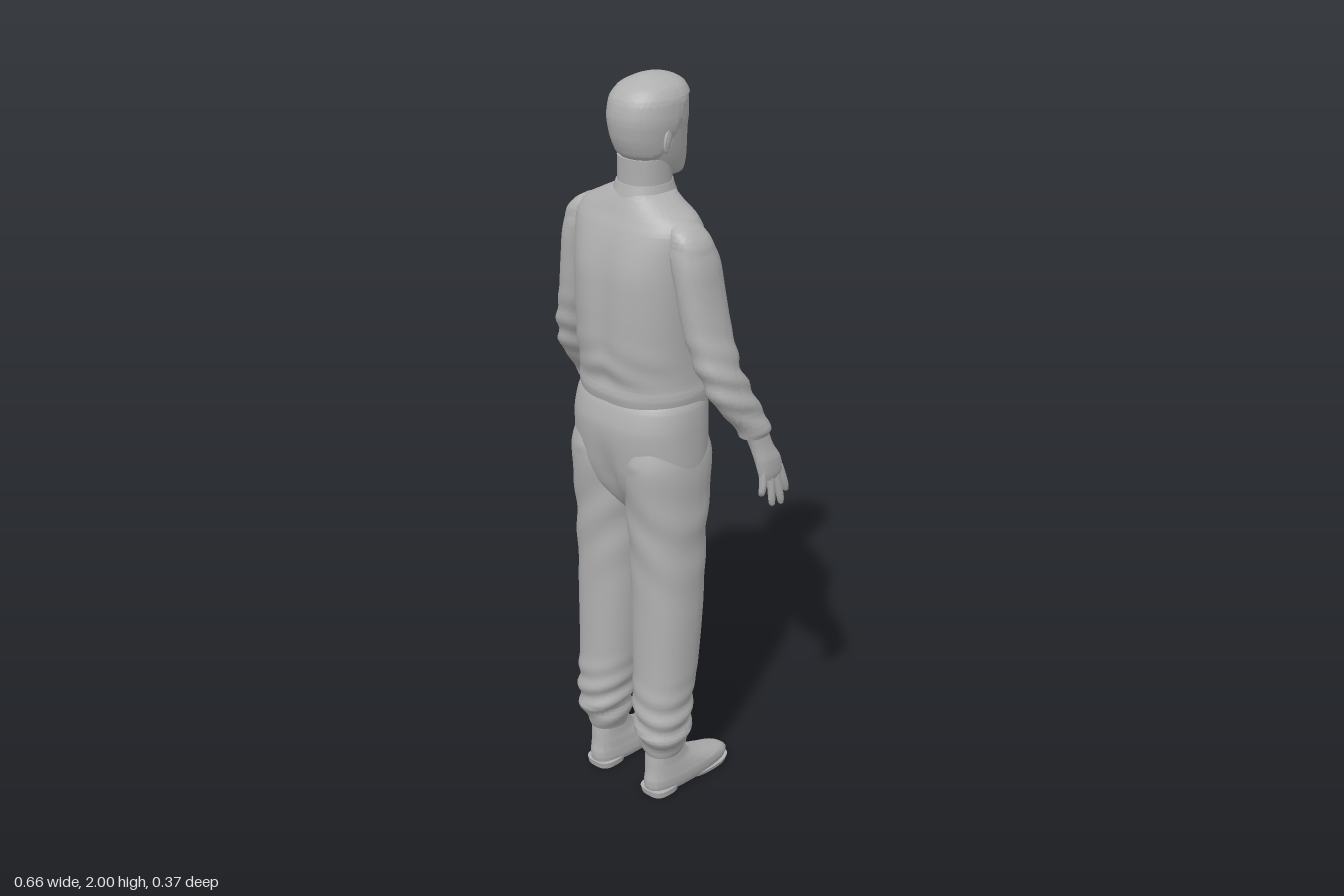
import * as THREE from 'three';
import { toCreasedNormals } from 'three/addons/utils/BufferGeometryUtils.js';

const clay = new THREE.MeshStandardMaterial({ color: 0xb0b0b0 });
clay.name = 'plain grey';

const bell = (x, y, sx, sy) => Math.exp(-((x / sx) ** 2) - (y / sy) ** 2);
const step = (a, b, v) => THREE.MathUtils.smoothstep(v, a, b);

// Monotone cubic through the rows, read at height y inside span i
function sampleRow(rows, i, y) {
  const slope = (k, c) => (rows[k + 1][c] - rows[k][c]) / (rows[k + 1][0] - rows[k][0]);
  const tangent = (k, c) => {
    if (k === 0) return slope(0, c);
    if (k === rows.length - 1) return slope(k - 1, c);
    const a = slope(k - 1, c), b = slope(k, c);
    return a * b <= 0 ? 0 : (2 * a * b) / (a + b);
  };
  const h = rows[i + 1][0] - rows[i][0], s = (y - rows[i][0]) / h;
  return [1, 2, 3, 4].map(c =>
    (1 + 2 * s) * (1 - s) ** 2 * rows[i][c] + s * (1 - s) ** 2 * h * tangent(i, c) +
    s * s * (3 - 2 * s) * rows[i + 1][c] + s * s * (s - 1) * h * tangent(i + 1, c));
}

// Skin over level sections [y, xMin, xMax, zMin, zMax], listed from bottom to top
function loft(rows, { segs = 40, sub = 6, power = 2.2, rule } = {}) {
  const pos = [], index = [];
  let rings = 0;
  const ring = (i, y) => {
    const [x0, x1, z0, z1] = sampleRow(rows, i, y);
    for (let j = 0; j < segs; j++) {
      const t = (j / segs) * Math.PI * 2, c = Math.cos(t), s = Math.sin(t);
      const p = new THREE.Vector3(
        (x0 + x1) / 2 + (x1 - x0) / 2 * Math.sign(c) * Math.abs(c) ** (2 / power), y,
        (z0 + z1) / 2 + (z1 - z0) / 2 * Math.sign(s) * Math.abs(s) ** (2 / power));
      if (rule) rule(p, c, s, t);
      pos.push(p.x, p.y, p.z);
    }
    rings++;
  };
  for (let i = 0; i < rows.length - 1; i++)
    for (let k = 0; k < sub; k++) ring(i, rows[i][0] + (rows[i + 1][0] - rows[i][0]) * k / sub);
  ring(rows.length - 2, rows[rows.length - 1][0]);
  for (const r of [rows[0], rows[rows.length - 1]]) pos.push((r[1] + r[2]) / 2, r[0], (r[3] + r[4]) / 2);
  const low = rings * segs, high = low + 1, last = (rings - 1) * segs;
  for (let j = 0; j < segs; j++) {
    const n = (j + 1) % segs;
    for (let i = 0; i < rings - 1; i++) {
      const a = i * segs + j, b = i * segs + n;
      index.push(a, a + segs, b, b, a + segs, b + segs);
    }
    index.push(low, j, n, high, last + n, last + j);
  }
  const g = new THREE.BufferGeometry();
  g.setAttribute('position', new THREE.Float32BufferAttribute(pos, 3));
  g.setIndex(index);
  return toCreasedNormals(g, 0.9);
}

const mirror = (rows, side) => side > 0 ? rows : rows.map(([y, a, b, c, d]) => [y, -b, -a, c, d]);

export function createModel() {
  const model = new THREE.Group();
  const add = (name, geometry, parent = model) => {
    const m = new THREE.Mesh(geometry, clay);
    m.name = name;
    parent.add(m);
    return m;
  };

  // Head: smooth skull with brow, eyes, nose, mouth and a raised hair edge
  const X = 0.012;
  add('head', loft([
    [1.737, X - .025, X + .025, -.07, 0], [1.745, X - .045, X + .045, -.08, .03],
    [1.78, X - .063, X + .063, -.084, .08], [1.82, X - .074, X + .074, -.082, .108],
    [1.86, X - .081, X + .081, -.08, .122], [1.9, X - .086, X + .086, -.082, .127],
    [1.94, X - .084, X + .084, -.081, .12], [1.97, X - .069, X + .069, -.07, .098],
    [1.987, X - .047, X + .047, -.05, .07], [1.996, X - .024, X + .024, -.02, .045],
    [2, X - .004, X + .004, .008, .018],
  ], { segs: 112, sub: 10, rule: (p, c, s) => {
    const x = p.x - X, e = Math.abs(x), y = p.y;
    const hairline = 1.945 - .14 * step(-.045, .07, p.z);
    const hair = .005 * step(hairline - .004, hairline + .006, y) * (1 - step(1.97, 1.995, y));
    p.x += c * hair;
    p.z += s * hair;
    if (s >= 0) return;
    const k = THREE.MathUtils.clamp((1.893 - y) / .07, 0, 1);
    p.z -= .031 * k * step(1.805, 1.82, y) * bell(x, 0, .007 + .006 * k, 1)
      + .006 * bell(e - .028, y - 1.892, .018, .006)
      - .01 * bell(e - .031, y - 1.871, .015, .01) + .005 * bell(e - .031, y - 1.87, .009, .006)
      + .006 * bell(x, y - 1.793, .018, .005) + .006 * bell(x, y - 1.779, .016, .005)
      - .005 * bell(x, y - 1.786, .02, .003) + .006 * bell(x, y - 1.755, .02, .012);
  } }));
  add('neck', loft([[1.64, -.075, .085, -.03, .11], [1.72, -.058, .074, -.035, .1], [1.8, -.055, .076, -.03, .102]]));

  // Ears: flat oval with a rim
  for (const side of [-1, 1]) {
    const ear = new THREE.Group();
    ear.name = side > 0 ? 'leftEar' : 'rightEar';
    ear.position.set(X + side * .083, 1.85, .04);
    ear.rotation.set(-.2, side * .25, 0);
    add('earBody', new THREE.SphereGeometry(1, 16, 12), ear).scale.set(.006, .028, .015);
    const rim = add('earRim', new THREE.TorusGeometry(.015, .004, 8, 20), ear);
    rim.scale.set(1, 1.7, 1);
    rim.rotation.y = Math.PI / 2;
    model.add(ear);
  }

  // Waistcoat: hollow spine, shoulder blades, folds above the hem and a front overlap
  add('waistcoat', loft([
    [1.165, -.172, .172, -.13, .166], [1.2, -.176, .176, -.132, .172], [1.225, -.172, .172, -.13, .17],
    [1.3, -.17, .17, -.125, .183], [1.4, -.173, .173, -.116, .185], [1.5, -.178, .178, -.096, .178],
    [1.58, -.184, .184, -.078, .163], [1.63, -.188, .188, -.062, .147], [1.66, -.172, .172, -.05, .133],
    [1.69, -.122, .122, -.04, .12], [1.715, -.074, .08, -.035, .108],
  ], { segs: 80, power: 2.3, rule: (p, c, s) => {
    if (s > 0) {
      p.z += s * (.007 * bell(Math.abs(p.x) - .09, p.y - 1.53, .06, .08) - .008 * bell(p.x, p.y - 1.4, .035, .16));
      p.z += s * .004 * Math.sin(p.y * 75 + Math.abs(p.x) * 26) * bell(0, p.y - 1.27, 1, .06);
    } else {
      p.z -= .004 * step(-.004, .004, p.x + .008) * step(.12, 0, Math.abs(p.x)) * (p.y < 1.62 ? 1 : 0);
      p.y -= .025 * bell(p.x, p.y - 1.165, .05, .03);
    }
  } }));

  // Collar, tie and collar points
  add('collar', loft([[1.675, -.08, .09, -.055, .12], [1.7, -.072, .084, -.048, .114], [1.735, -.06, .075, -.038, .104]]));
  add('tie', loft([[1.56, -.012, .03, -.092, -.06], [1.64, -.006, .024, -.073, -.04],
    [1.672, -.003, .021, -.065, -.03], [1.69, -.008, .026, -.066, -.03], [1.71, -.008, .026, -.05, -.02]], { segs: 20 }));
  for (const side of [-1, 1]) {
    const flap = new THREE.Shape([[0, 0], [side * .045, .004], [side * .036, -.045]].map(a => new THREE.Vector2(...a)));
    const m = add(side > 0 ? 'leftCollarPoint' : 'rightCollarPoint',
      new THREE.ExtrudeGeometry(flap, { depth: .006, bevelEnabled: false }));
    m.position.set(X, 1.714, -.053);
    m.rotation.set(.4, -side * .45, 0);
  }

  // Seat of the trousers
  add('trouserSeat', loft([
    [.84, -.04, .04, 0, .09], [.88, -.09, .09, -.045, .125], [.94, -.165, .165, -.085, .158],
    [1, -.186, .186, -.1, .174], [1.1, -.184, .184, -.106, .184], [1.16, -.179, .179, -.106, .172],
    [1.19, -.168, .168, -.11, .158],
  ], { segs: 64, power: 2.3, rule: (p, c, s) => {
    if (s > 0) p.z -= .018 * bell(p.x, p.y - .96, .025, .08);
  } }));

  for (const side of [-1, 1]) {
    const word = side > 0 ? 'left' : 'right';

    // Trouser leg with pressed crease, and cloth gathered above the ankle
    add(word + 'TrouserLeg', loft(mirror([
      [.125, .06, .15, .012, .115], [.15, .05, .162, .004, .125], [.175, .046, .172, -.004, .138],
      [.21, .04, .179, -.006, .145], [.3, .028, .181, -.016, .145], [.4, .019, .185, -.036, .14],
      [.6, .01, .19, -.054, .14], [.8, .004, .19, -.066, .148], [.9, 0, .19, -.08, .158],
      [1, 0, .186, -.094, .17], [1.09, .02, .165, -.07, .15],
    ], side), { segs: 56, sub: 8, rule: (p, c, s) => {
      const gather = bell(0, p.y - .23, 1, .09), thigh = bell(0, p.y - .8, 1, .14);
      const d = .006 * gather * Math.sin(p.y * 95 + side * c * 2.2 + s * 1.5)
        + .003 * thigh * Math.sin(p.y * 42 + side * c * 4)
        + .004 * bell(c, 0, .16, 1) * step(.3, .45, p.y) * step(1, .85, p.y);
      p.x += c * d;
      p.z += s * d;
    } }));

    // Shoe with sole and heel
    const toe = side > 0 ? -.181 : -.187;
    add(word + 'Shoe', loft(mirror([
      [.008, .062, .146, toe + .006, .116], [.028, .056, .152, toe, .124], [.045, .056, .153, toe + .018, .124],
      [.06, .058, .151, -.12, .121], [.08, .06, .148, -.062, .118], [.1, .063, .145, -.022, .117],
      [.15, .064, .144, .014, .112],
    ], side), { segs: 48, power: 2.5 }));
    add(word + 'Sole', loft(mirror([[.002, .058, .15, toe + .006, -.01], [.014, .055, .153, toe, 0]], side), { sub: 2, power: 2.5 }));
    add(word + 'Heel', loft(mirror([[0, .063, .146, .03, .122], [.018, .06, .148, .025, .126]], side), { sub: 2, power: 3 }));

    // Sleeve with folds at the elbow and a cuff
    add(word + 'Sleeve', loft(mirror([
      [1.095, .258, .324, -.116, -.03], [1.11, .252, .33, -.119, -.024], [1.15, .243, .322, -.103, .004],
      [1.2, .23, .316, -.08, .046], [1.3, .199, .294, -.042, .083], [1.4, .17, .266, -.039, .1],
      [1.5, .155, .248, -.033, .109], [1.56, .14, .24, -.028, .112], [1.62, .125, .221, -.008, .108],
      [1.65, .125, .198, .01, .095], [1.666, .14, .172, .035, .072],
    ], side), { segs: 44, sub: 8, rule: (p, c, s) => {
      const d = .005 * bell(0, p.y - 1.25, 1, .1) * Math.sin(p.y * 85 - s * 2.5)
        + .002 * Math.sin(p.y * 50 + side * c * 3) * step(1.1, 1.2, p.y) * step(1.6, 1.5, p.y);
      p.x += c * d;
      p.z += s * d;
    } }));

    // Hand: palm, four spread fingers and thumb
    const hand = new THREE.Group();
    hand.name = word + 'Hand';
    model.add(hand);
    add('palm', loft(mirror([
      [.966, .303, .327, -.144, -.078], [.985, .298, .331, -.156, -.071], [1.02, .289, .332, -.148, -.064],
      [1.06, .278, .325, -.126, -.056], [1.13, .262, .317, -.105, -.03],
    ], side), { segs: 28 }), hand);
    const digit = (name, a, b, r) => {
      const row = (u, k) => {
        const [x, y, z] = a.map((v, i) => v + (b[i] - v) * u);
        const bend = .004 * Math.sin(u * Math.PI);
        return [y, x + bend - r * k, x + bend + r * k, z - r * k, z + r * k];
      };
      add(name, loft(mirror([row(1, .15), row(.97, .55), row(.9, .8), row(.5, .95), row(0, 1.1)], side),
        { segs: 14, sub: 3 }), hand);
    };
    const tips = [[.314, .905, -.177], [.317, .875, -.156], [.317, .882, -.12], [.312, .922, -.082]];
    tips.forEach((tip, i) => digit('finger' + (i + 1), [.315, .995, -.143 + i * .02], tip, .0105));
    digit('thumb', [.302, 1.045, -.115], [.277, .95, -.16], .0125);
  }
  return model;
}
